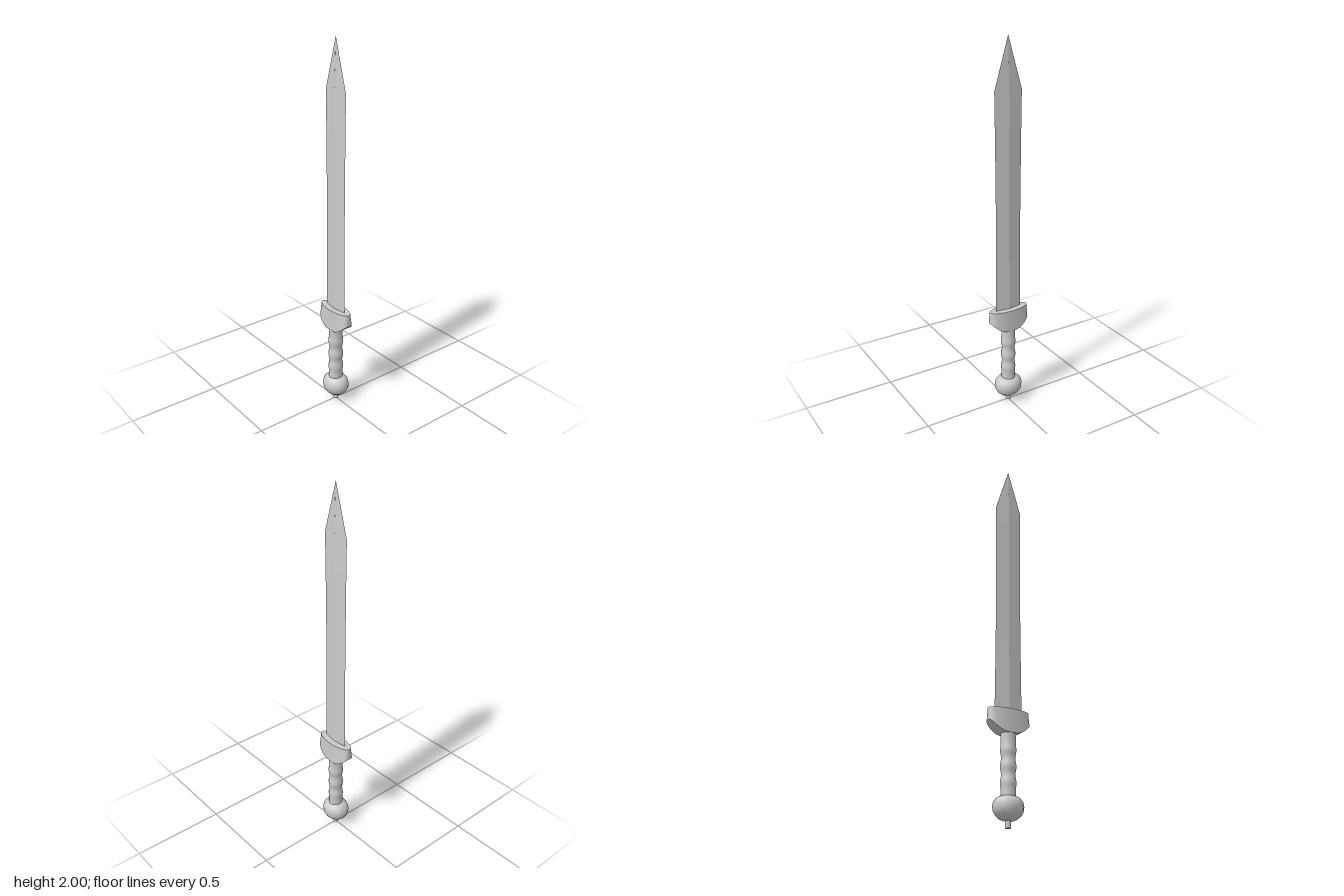
import * as THREE from 'three';
import { toCreasedNormals } from 'three/addons/utils/BufferGeometryUtils.js';

const material = new THREE.MeshStandardMaterial({ color: 0xcccccc });

function addMesh(group, name, geometry) {
  const mesh = new THREE.Mesh(geometry, material);
  mesh.name = name;
  group.add(mesh);
  return mesh;
}

// Joins four-cornered sections, counter-clockwise about the path, into a closed solid
function loft(sections, crease) {
  const idx = [], last = (sections.length - 1) * 4;
  for (let i = 0; i < last; i += 4) {
    for (let j = 0; j < 4; j++) {
      const a = i + j, b = i + (j + 1) % 4;
      idx.push(a, b, b + 4, a, b + 4, a + 4);
    }
  }
  idx.push(0, 2, 1, 0, 3, 2, last, last + 1, last + 2, last, last + 2, last + 3);
  const geo = new THREE.BufferGeometry();
  geo.setAttribute('position', new THREE.Float32BufferAttribute(sections.flat(2), 3));
  geo.setIndex(idx);
  geo.computeVertexNormals();
  return toCreasedNormals(geo, crease);
}

function lathe(points, segments) {
  const geo = new THREE.LatheGeometry(points.map(([r, y]) => new THREE.Vector2(r, y)), segments);
  return toCreasedNormals(geo, 0.7);
}

export function createModel() {
  const sword = new THREE.Group();
  sword.name = 'sword';

  // Diamond-section blade, slightly waisted, with a long point
  const blade = [[0.55, 0.077, 0.011], [0.75, 0.075, 0.011], [1.1, 0.073, 0.01], [1.45, 0.075, 0.01],
    [1.74, 0.078, 0.01], [2, 0.0005, 0.0005]];
  addMesh(sword, 'blade', loft(blade.map(([y, w, t]) =>
    [[0, y, t], [w, y, 0], [0, y, -t], [-w, y, 0]]), 0.05));

  // Guard: oval flat top, fuller sides below it, underside curving up to the ends
  const guard = [];
  const top = 0.57, halfWidth = 0.113, halfDepth = 0.042;
  for (let i = 0; i <= 24; i++) {
    const a = Math.PI * (1 - i / 24);
    const x = halfWidth * Math.cos(a);
    const oval = Math.max(Math.sin(a), 0.01);
    const zTop = halfDepth * oval, zBottom = halfDepth * Math.sqrt(oval);
    const s = Math.max(0, (Math.abs(x) - 0.03) / (halfWidth - 0.03));
    const bottom = 0.45 + 0.055 * s ** 1.6;
    guard.push([[x, top, zTop], [x, bottom, zBottom], [x, bottom, -zBottom], [x, top, -zTop]]);
  }
  addMesh(sword, 'guard', loft(guard, 0.6));

  // Grip with three soft ridges
  const grip = [[0, 0.13], [0.037, 0.13], [0.037, 0.17]];
  for (let i = 0; i <= 16; i++) {
    const y = 0.19 + i * 0.0125;
    grip.push([0.037 + 0.0027 * Math.cos((y - 0.21) / 0.08 * Math.PI * 2), y]);
  }
  grip.push([0.037, 0.42], [0.037, 0.46], [0, 0.46]);
  addMesh(sword, 'grip', lathe(grip, 16)).scale.z = 1.05;

  // Pommel, a little wider than deep
  const pommel = addMesh(sword, 'pommel', lathe([[0, 0.032], [0.025, 0.034], [0.046, 0.042], [0.064, 0.058],
    [0.075, 0.078], [0.078, 0.1], [0.073, 0.122], [0.06, 0.138], [0.042, 0.147], [0, 0.149]], 16));
  pommel.scale.z = 0.88;

  // Tang end showing below the pommel
  const tang = addMesh(sword, 'tangEnd', new THREE.CylinderGeometry(0.014, 0.014, 0.05, 10));
  tang.position.y = 0.025;

  return sword;
}
